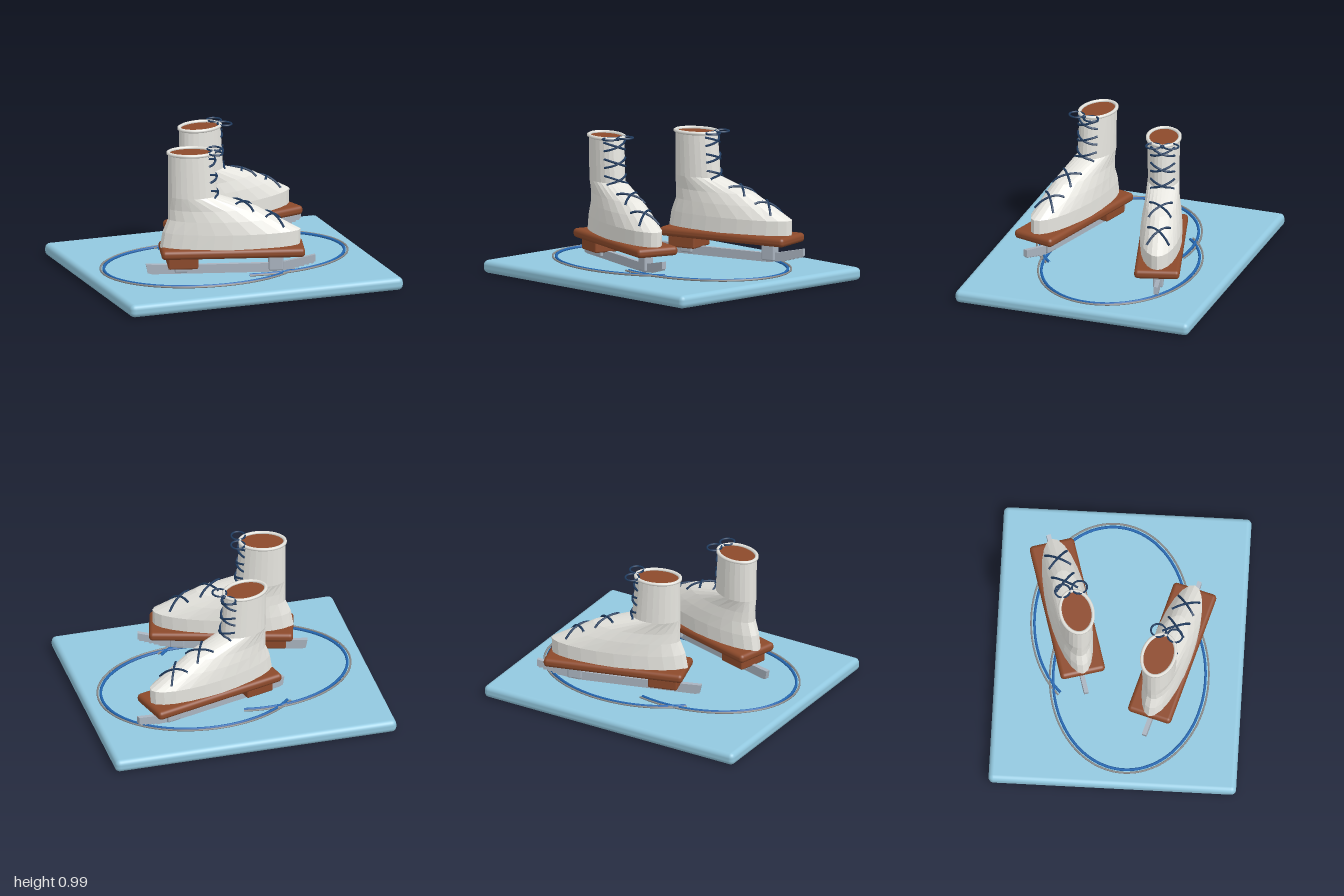
import * as THREE from 'three';
import { RoundedBoxGeometry } from 'three/addons/geometries/RoundedBoxGeometry.js';

const mat = (name, color, extra = {}) => {
  const m = new THREE.MeshStandardMaterial({ color, ...extra });
  m.name = name;
  return m;
};

// Boot cross-sections: height, centre x, half length, half width
const RINGS = [
  [0.30, -0.013, 0.483, 0.141],
  [0.41, -0.002, 0.475, 0.143],
  [0.50, -0.065, 0.375, 0.133],
  [0.575, -0.132, 0.308, 0.118],
  [0.665, -0.270, 0.170, 0.109],
  [0.97, -0.283, 0.157, 0.111],
];

function section(y) {
  let i = 0;
  while (i < RINGS.length - 2 && y > RINGS[i + 1][0]) i++;
  const p = RINGS[i], q = RINGS[i + 1];
  const t = (y - p[0]) / (q[0] - p[0]);
  return p.map((v, k) => v + (q[k] - v) * t);
}

// Front surface of the boot at a height and a sideways position
function frontX(y, z) {
  const [, c, a, b] = section(y);
  return c + a * Math.sqrt(Math.max(0, 1 - (z * z) / (b * b)));
}

// Upper surface of the foot, found by bisection
function footY(x, z) {
  let lo = 0.41, hi = 0.67;
  for (let i = 0; i < 24; i++) {
    const mid = (lo + hi) / 2;
    if (frontX(mid, z) > x) lo = mid; else hi = mid;
  }
  return lo;
}

function bootGeometry(n = 24) {
  const pos = [], idx = [];
  for (const [y, c, a, b] of RINGS) {
    for (let j = 0; j < n; j++) {
      const t = (j / n) * Math.PI * 2;
      pos.push(c + a * Math.cos(t), y, b * Math.sin(t));
    }
  }
  for (let i = 0; i < RINGS.length - 1; i++) {
    for (let j = 0; j < n; j++) {
      const k = (j + 1) % n, r = i * n, s = r + n;
      idx.push(r + j, s + j, r + k, s + j, s + k, r + k);
    }
  }
  const g = new THREE.BufferGeometry();
  g.setAttribute('position', new THREE.Float32BufferAttribute(pos, 3));
  g.setIndex(idx);
  g.computeVertexNormals();
  return g;
}

// Blade outline with a raised, toothed toe
function bladeGeometry() {
  const s = new THREE.Shape();
  s.moveTo(-0.592, 0.18);
  s.lineTo(-0.58, 0.118);
  s.lineTo(-0.55, 0.11);
  s.lineTo(0.30, 0.11);
  s.lineTo(0.40, 0.125);
  for (let i = 0; i < 5; i++) {
    const x = 0.40 + i * 0.033, y = 0.125 + i * 0.009;
    s.lineTo(x + 0.026, y + 0.001);
    s.lineTo(x + 0.033, y + 0.013);
  }
  s.lineTo(0.573, 0.175);
  s.lineTo(0.573, 0.225);
  s.lineTo(0.36, 0.18);
  s.lineTo(0.25, 0.172);
  s.lineTo(-0.3, 0.172);
  s.closePath();
  const g = new THREE.ExtrudeGeometry(s, { depth: 0.03, bevelEnabled: false });
  return g.translate(0, 0, -0.015);
}

const tube = (points, r, seg = 16, closed = false) =>
  new THREE.TubeGeometry(new THREE.CatmullRomCurve3(points, closed), seg, r, 6, closed);

const ellipse = (cx, y, cz, rx, rz, from, to, n) =>
  Array.from({ length: n }, (_, i) => {
    const t = from + ((to - from) * i) / (n - 1);
    return new THREE.Vector3(cx + rx * Math.cos(t), y, cz + rz * Math.sin(t));
  });

export function createModel() {
  const ice = mat('ice blue', 0x92c8df);
  const leather = mat('white leather', 0xe9e8e2, { flatShading: true });
  const trim = mat('collar white', 0xe4e3dd);
  const wood = mat('brown sole', 0x8d4a2b);
  const steel = mat('steel', 0xaab4c0);
  const laceMat = mat('navy lace', 0x203c60);
  const blue = mat('blue trail', 0x2468b4);
  const grey = mat('grey trail', 0x8c8c8c);

  const model = new THREE.Group();
  model.name = 'iceSkates';
  const add = (parent, name, geo, m, x = 0, y = 0, z = 0) => {
    const mesh = new THREE.Mesh(geo, m);
    mesh.name = name;
    mesh.position.set(x, y, z);
    parent.add(mesh);
    return mesh;
  };

  // Ice slab
  add(model, 'iceSlab', new RoundedBoxGeometry(2, 0.09, 1.7, 3, 0.035), ice, 0, 0.045, 0);

  // Two curved skating trails, one the half-turn copy of the other
  for (const s of [1, -1]) {
    const start = THREE.MathUtils.degToRad(s > 0 ? 217 : 37);
    const end = start + THREE.MathUtils.degToRad(248);
    const trail = (rx, rz, y) => ellipse(0.2 * s, y, -0.075 * s, rx, rz, start, end, 40);
    add(model, 'blueTrail', tube(trail(0.682, 0.522, 0.097), 0.01, 90), blue);
    add(model, 'greyTrail', tube(trail(0.705, 0.545, 0.098), 0.007, 90), grey);
  }

  function makeSkate(name) {
    const g = new THREE.Group();
    g.name = name;

    // Sole, heel block, posts and blade
    add(g, 'solePlate', new RoundedBoxGeometry(0.988, 0.064, 0.312, 3, 0.027), wood, 0, 0.276, 0);
    add(g, 'heelBlock', new RoundedBoxGeometry(0.207, 0.095, 0.22, 2, 0.012), wood, -0.342, 0.212, 0);
    add(g, 'heelPost', new RoundedBoxGeometry(0.09, 0.08, 0.07, 2, 0.01), steel, -0.35, 0.162, 0);
    add(g, 'toePost', new RoundedBoxGeometry(0.1, 0.135, 0.07, 2, 0.01), steel, 0.302, 0.19, 0);
    add(g, 'blade', bladeGeometry(), steel);

    // Boot, collar and lining
    add(g, 'boot', bootGeometry(), leather);
    const rim = ellipse(-0.283, 0.97, 0, 0.156, 0.111, 0, Math.PI * 2, 33).slice(0, 32);
    add(g, 'collar', tube(rim, 0.013, 48, true), trim);
    const lining = new THREE.CircleGeometry(1, 32).rotateX(-Math.PI / 2).scale(0.155, 1, 0.11);
    add(g, 'lining', lining, wood, -0.283, 0.966, 0);

    // Crossed laces up the shaft and over the foot
    const steps = [-1, -0.67, -0.33, 0, 0.33, 0.67, 1];
    for (const d of [1, -1]) {
      for (const y0 of [0.685, 0.8, 0.915]) {
        const pts = steps.map((t) => {
          const y = y0 + d * t * 0.03, z = t * 0.082;
          return new THREE.Vector3(frontX(y, z) + 0.007, y, z);
        });
        add(g, 'shaftLace', tube(pts, 0.008), laceMat);
      }
      for (const x0 of [0.08, 0.288]) {
        const pts = steps.map((t) => {
          const x = x0 + d * t * 0.065, z = t * 0.078;
          return new THREE.Vector3(x, footY(x, z) + 0.007, z);
        });
        add(g, 'footLace', tube(pts, 0.008), laceMat);
      }
      // Bow loop
      const loop = ellipse(-0.115, 0.975, d * 0.06, 0.047, 0.052, 0, Math.PI * 2, 17).slice(0, 16);
      add(g, 'bowLoop', tube(loop, 0.007, 32, true), laceMat);
    }
    add(g, 'bowKnot', new THREE.SphereGeometry(0.014, 10, 8), laceMat, -0.115, 0.972, 0);
    model.add(g);
    return g;
  }

  // The pair, toes turned apart
  const left = makeSkate('backSkate');
  left.position.set(0.205, 0, -0.373);
  left.rotation.y = 0.28;
  const right = makeSkate('frontSkate');
  right.position.set(-0.08, 0, 0.363);
  right.rotation.y = -0.28;

  return model;
}
